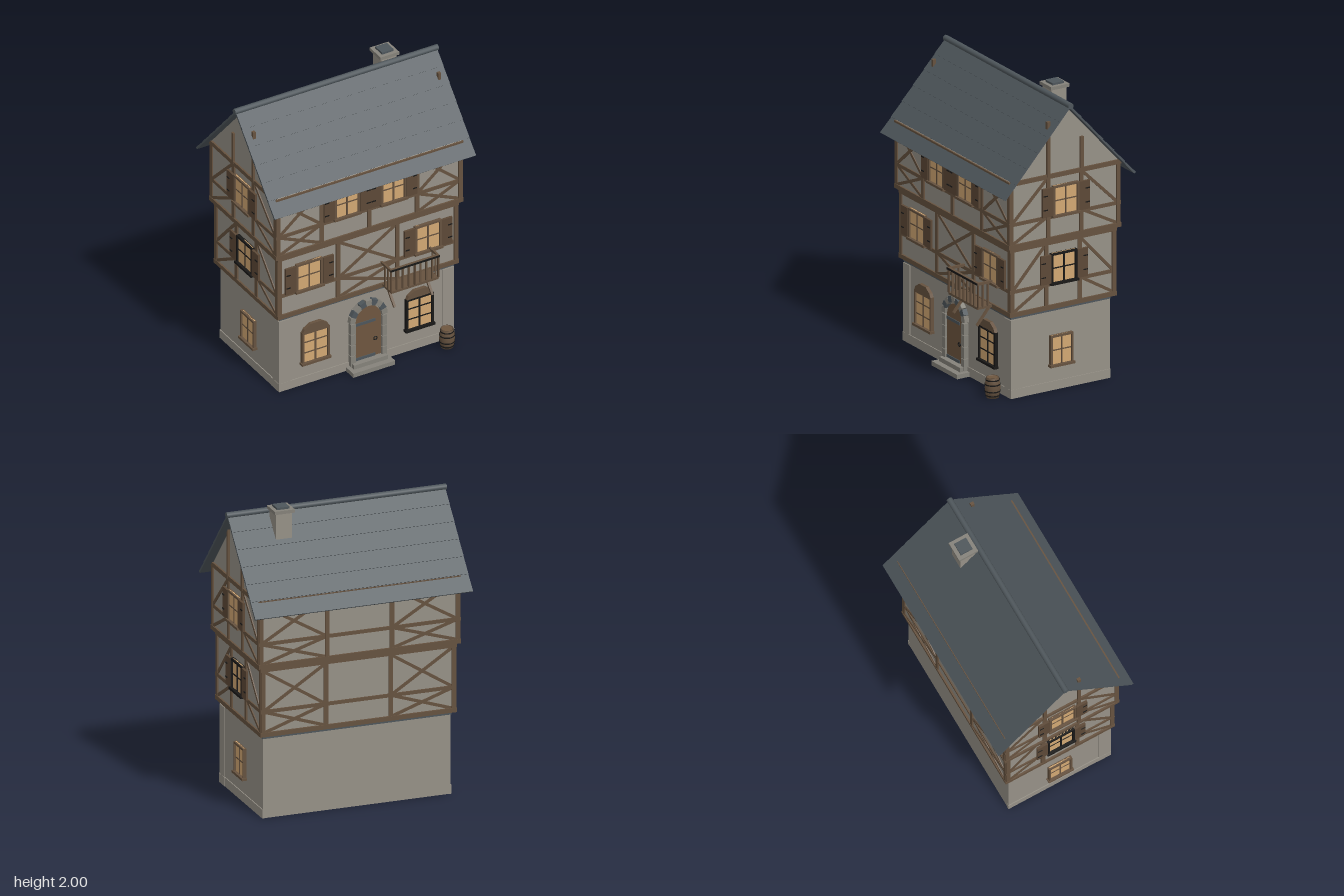
import * as THREE from 'three';

const mat = (name, color) => Object.assign(new THREE.MeshStandardMaterial({ color }), { name });
const M = {
  plaster: mat('plaster', 0x969187),
  timber: mat('timber', 0x66523f),
  shutter: mat('shutter brown', 0x5d4937),
  door: mat('door wood', 0x6e563f),
  glass: mat('warm window', 0xd2a873),
  slate: mat('roof slate', 0x4e565b),
  stone: mat('stone', 0x85827a),
  iron: mat('dark iron', 0x191817),
};
const CZ = -0.005; // depth centre of the upper storeys

function add(parent, name, geo, material, x = 0, y = 0, z = 0) {
  const m = new THREE.Mesh(geo, material);
  m.name = name;
  m.position.set(x, y, z);
  parent.add(m);
  return m;
}
const box = (p, name, material, w, h, d, x, y, z) =>
  add(p, name, new THREE.BoxGeometry(w, h, d), material, x, y, z);
// box given by its limits in x and y, lying on a facade
const plate = (p, name, material, x0, x1, y0, y1, d, z = d / 2) =>
  box(p, name, material, x1 - x0, y1 - y0, d, (x0 + x1) / 2, (y0 + y1) / 2, z);

// straight timber between two points of a facade
function bar(p, name, x1, y1, x2, y2, w = 0.024, d = 0.018) {
  const m = box(p, name, M.timber, Math.hypot(x2 - x1, y2 - y1), w, d, (x1 + x2) / 2, (y1 + y2) / 2, 0);
  m.rotation.z = Math.atan2(y2 - y1, x2 - x1);
}
function cross(p, x0, x1, y0, y1) {
  bar(p, 'crossBrace', x0, y0, x1, y1, 0.02, 0.014);
  bar(p, 'crossBrace', x0, y1, x1, y0, 0.02, 0.012);
}

// facade frame: local x along the wall, y up, z outwards
function facade(parent, name, angle, halfX, halfZ, cz) {
  const g = new THREE.Group();
  g.name = name;
  g.rotation.y = angle;
  g.position.set(Math.sin(angle) * halfX, 0, cz + Math.cos(angle) * halfZ);
  parent.add(g);
  return g;
}

function addWindow(p, cx, y0, y1, { w = 0.18, rows = 2, frame = M.timber, shutters = true } = {}) {
  const g = new THREE.Group();
  g.name = 'window';
  g.position.x = cx;
  p.add(g);
  const h = w / 2, t = 0.014;
  plate(g, 'windowPane', M.glass, -h, h, y0, y1, 0.008, 0.009);
  for (const s of [-1, 1]) {
    box(g, 'windowFrame', frame, t, y1 - y0, 0.024, s * h, (y0 + y1) / 2, 0.012);
    if (!shutters) continue;
    box(g, 'shutter', M.shutter, 0.078, y1 - y0 - 0.01, 0.016, s * (h + 0.048), (y0 + y1) / 2, 0.017);
    for (const y of [y0 + 0.055, y1 - 0.055])
      box(g, 'shutterHinge', M.iron, 0.03, 0.007, 0.005, s * (h + 0.068), y, 0.027);
  }
  plate(g, 'windowFrame', frame, -h - t / 2, h + t / 2, y1 - t, y1, 0.024);
  plate(g, 'windowSill', frame, -h - 0.015, h + 0.015, y0 - 0.008, y0 + 0.008, 0.034);
  plate(g, 'mullion', frame, -0.005, 0.005, y0, y1, 0.018);
  for (let i = 1; i < rows; i++) {
    const y = y0 + (y1 - y0) * i / rows;
    plate(g, 'glazingBar', frame, -h, h, y - 0.004, y + 0.004, 0.016);
  }
}

// sill, rail, head beam and posts of one storey
function frameStorey(f, half, y0, rail, y1, posts) {
  plate(f, 'sillBeam', M.timber, -half, half, y0, y0 + 0.03, 0.024, 0);
  plate(f, 'headBeam', M.timber, -half, half, y1 - 0.03, y1, 0.024, 0);
  plate(f, 'rail', M.timber, -half, half, rail - 0.012, rail + 0.012, 0.016, 0);
  for (const x of posts) plate(f, 'post', M.timber, x - 0.014, x + 0.014, y0, y1, 0.02, 0);
}

function addStorey(root, hx, hz, y0, rail, y1, upper) {
  box(root, 'storeyWall', M.plaster, hx * 2, y1 - y0, hz * 2, 0, (y0 + y1) / 2, CZ);
  const lo = y0 + 0.025, hi = y1 - 0.025, ex = hx - 0.008, inner = upper ? 0.353 : 0.22;

  const front = facade(root, 'frontFacade', 0, hx, hz, CZ);
  frameStorey(front, hx + 0.01, y0, rail, y1, upper ? [-ex, -inner, 0, inner, ex] : [-ex, -inner, inner, ex]);
  if (upper) {
    for (const s of [-1, 1]) {
      const a = Math.min(s * inner, s * ex), b = Math.max(s * inner, s * ex);
      cross(front, a, b, lo, rail);
      cross(front, a, b, rail, hi);
      addWindow(front, s * 0.172, 1.205, 1.41, { w: 0.17 });
    }
  } else {
    cross(front, -inner, inner, lo, rail);
    cross(front, -inner, inner, rail, hi);
    for (const s of [-1, 1]) addWindow(front, s * 0.44, 0.735, 0.94);
  }

  const back = facade(root, 'backFacade', Math.PI, hx, hz, CZ);
  frameStorey(back, hx + 0.01, y0, rail, y1, [-ex, -0.222, 0.222, ex]);
  for (const [a, b] of [[-ex, -0.222], [0.222, ex]]) {
    cross(back, a, b, lo, rail);
    cross(back, a, b, rail, hi);
  }

  for (const s of [-1, 1]) {
    const side = facade(root, 'sideFacade', s * Math.PI / 2, hx, hz, CZ), ez = hz - 0.008;
    frameStorey(side, hz + 0.01, y0, rail, y1, [-ez, -0.125, 0.125, ez]);
    for (const k of [-1, 1]) {
      bar(side, 'sideBrace', k * ez, rail, k * 0.13, hi, 0.02, 0.014);
      bar(side, 'sideBrace', k * ez, lo, k * 0.14, rail, 0.02, 0.014);
    }
    addWindow(side, 0, rail + 0.005, rail + 0.21, { frame: upper ? M.timber : M.iron });
  }
}

function addGroundFloor(root) {
  box(root, 'groundWall', M.plaster, 1.284, 0.56, 0.744, 0, 0.28, 0);
  box(root, 'stringCourse', M.slate, 1.292, 0.022, 0.75, 0, 0.548, 0);
  box(root, 'frontPlinth', M.plaster, 1.3, 0.06, 0.1, 0, 0.03, 0.328);
  for (const s of [-1, 1]) {
    box(root, 'cornerPier', M.plaster, 0.082, 0.53, 0.086, s * 0.607, 0.265, 0.334);
    box(root, 'sidePlinth', M.plaster, 0.02, 0.06, 0.66, s * 0.638, 0.03, -0.044);
    const side = facade(root, 'groundSide', s * Math.PI / 2, 0.642, 0.372, 0);
    addWindow(side, 0, 0.17, 0.375, { w: 0.155, shutters: false });
  }
  const front = facade(root, 'groundFront', 0, 0.642, 0.372, 0);
  for (const s of [-1, 1]) {
    addWindow(front, s * 0.385, 0.165, 0.4, { w: 0.188, rows: 3, shutters: false, frame: s > 0 ? M.iron : M.timber });
    // shaped wooden head above the window
    const head = new THREE.Shape([[-0.1, 0.395], [0.1, 0.395], [0.085, 0.425], [0.04, 0.455], [-0.04, 0.455], [-0.085, 0.425]]
      .map(([x, y]) => new THREE.Vector2(x, y)));
    add(front, 'windowHead', new THREE.ExtrudeGeometry(head, { depth: 0.024, bevelEnabled: false }), M.timber, s * 0.385);
  }
  // arched door with stone surround and steps
  const arch = new THREE.Shape();
  arch.moveTo(-0.1, 0.04);
  arch.lineTo(0.1, 0.04);
  arch.lineTo(0.1, 0.345);
  arch.absarc(0, 0.345, 0.1, 0, Math.PI);
  add(front, 'door', new THREE.ExtrudeGeometry(arch, { depth: 0.016, bevelEnabled: false, curveSegments: 10 }), M.door);
  for (let i = 0; i < 9; i++) {
    const a = (i + 0.5) / 9 * Math.PI;
    const b = box(front, 'archStone', i % 2 ? M.slate : M.stone, 0.04, 0.042, 0.034, Math.cos(a) * 0.118, 0.36 + Math.sin(a) * 0.118, 0.017);
    b.rotation.z = a;
  }
  for (const s of [-1, 1]) for (let i = 0; i < 4; i++)
    box(front, 'jambStone', M.stone, 0.034, 0.076, 0.034, s * 0.115, 0.075 + i * 0.08, 0.017);
  for (const y of [0.07, 0.33]) plate(front, 'doorHinge', M.slate, -0.098, 0.055, y - 0.01, y + 0.01, 0.006, 0.018);
  add(front, 'doorRing', new THREE.TorusGeometry(0.012, 0.004, 6, 14), M.iron, 0.055, 0.19, 0.021);
  box(front, 'lowerStep', M.stone, 0.31, 0.03, 0.1, 0, 0.015, 0.05);
  box(front, 'upperStep', M.stone, 0.25, 0.03, 0.06, 0, 0.045, 0.03);
}

function addRoof(root) {
  const tri = new THREE.Shape([[-0.42, 1.478], [0.42, 1.478], [0, 1.93]].map(([x, y]) => new THREE.Vector2(x, y)));
  const gable = add(root, 'gableWalls', new THREE.ExtrudeGeometry(tri, { depth: 1.364, bevelEnabled: false }), M.plaster, -0.682, 0, CZ);
  gable.rotation.y = Math.PI / 2;
  // gable posts, the front ones reaching through the slates
  for (const s of [-1, 1]) for (const [z, top] of [[0.12, 1.845], [-0.13, 1.7]])
    box(root, 'gablePost', M.timber, 0.02, top - 1.47, 0.024, s * 0.686, (top + 1.47) / 2, z);

  const slope = Math.atan2(0.545, 0.49), len = 0.735, rows = 6;
  for (const turn of [0, Math.PI]) {
    const half = new THREE.Group(), pitch = new THREE.Group();
    half.name = 'roofHalf';
    half.position.set(0, 1.946, -0.008);
    half.rotation.y = turn;
    pitch.rotation.x = slope;
    half.add(pitch);
    root.add(half);
    box(pitch, 'roofBoard', M.slate, 1.49, 0.008, len, 0, -0.006, len / 2);
    for (let i = 0; i < rows; i++) {
      const row = box(pitch, 'slateRow', M.slate, 1.49, 0.006, len / rows + 0.004, 0, 0, (i + 0.5) * len / rows);
      row.rotation.x = -0.035;
    }
  }
  const ridge = add(root, 'ridgeCap', new THREE.CylinderGeometry(0.02, 0.02, 1.505, 12), M.slate, 0, 1.945, -0.01);
  ridge.rotation.z = Math.PI / 2;

  box(root, 'chimneyStack', M.plaster, 0.11, 0.25, 0.11, 0.413, 1.845, -0.098);
  box(root, 'chimneyCap', M.stone, 0.138, 0.022, 0.138, 0.413, 1.975, -0.1);
  box(root, 'chimneyFlue', M.slate, 0.086, 0.016, 0.086, 0.413, 1.992, -0.1);
}

function addBalcony(root) {
  const g = new THREE.Group();
  g.name = 'balcony';
  g.position.set(0.28, 0, 0);
  root.add(g);
  const hw = 0.175, z0 = 0.385, z1 = 0.503;
  box(g, 'balconyFloor', M.timber, 0.35, 0.016, 0.122, 0, 0.578, 0.446);
  box(g, 'frontRail', M.timber, 0.364, 0.016, 0.018, 0, 0.745, z1);
  box(g, 'railEdge', M.iron, 0.364, 0.014, 0.003, 0, 0.745, z1 + 0.01);
  for (let i = 0; i < 9; i++)
    box(g, 'baluster', i % 4 ? M.timber : M.shutter, 0.011, 0.16, 0.011, -hw + i * hw / 4, 0.663, z1);
  for (const s of [-1, 1]) {
    box(g, 'sideRail', M.timber, 0.014, 0.016, z1 - z0, s * hw, 0.745, (z0 + z1) / 2);
    for (const z of [0.43, 0.468]) box(g, 'sideBaluster', M.timber, 0.01, 0.16, 0.01, s * hw, 0.663, z);
    const strut = box(g, 'strut', M.timber, 0.016, 0.15, 0.014, s * 0.14, 0.508, 0.442);
    strut.rotation.x = -Math.atan2(0.095, 0.115);
  }
}

function addBarrel(root) {
  const g = new THREE.Group();
  g.name = 'barrel';
  g.position.set(0.55, 0, 0.453);
  root.add(g);
  const profile = [[0, 0], [0.041, 0], [0.048, 0.035], [0.051, 0.068], [0.048, 0.1], [0.041, 0.136], [0.036, 0.136], [0.036, 0.128], [0, 0.128]];
  add(g, 'barrelStaves', new THREE.LatheGeometry(profile.map(([x, y]) => new THREE.Vector2(x, y)), 16), M.timber);
  for (const [y, r] of [[0.016, 0.0465], [0.045, 0.0515], [0.09, 0.0515], [0.12, 0.0465]])
    add(g, 'barrelHoop', new THREE.CylinderGeometry(r, r, 0.008, 16), M.iron, 0, y, 0);
  // the lid keeps the hoops' inner faces out of sight
  add(g, 'barrelLid', new THREE.CylinderGeometry(0.036, 0.036, 0.004, 16), M.door, 0, 0.13, 0);
}

export function createModel() {
  const root = new THREE.Group();
  root.name = 'timberFramedHouse';
  addGroundFloor(root);
  addStorey(root, 0.66, 0.39, 0.56, 0.73, 1.03, false);
  addStorey(root, 0.682, 0.41, 1.03, 1.195, 1.488, true);
  addRoof(root);
  addBalcony(root);
  addBarrel(root);
  return root;
}
